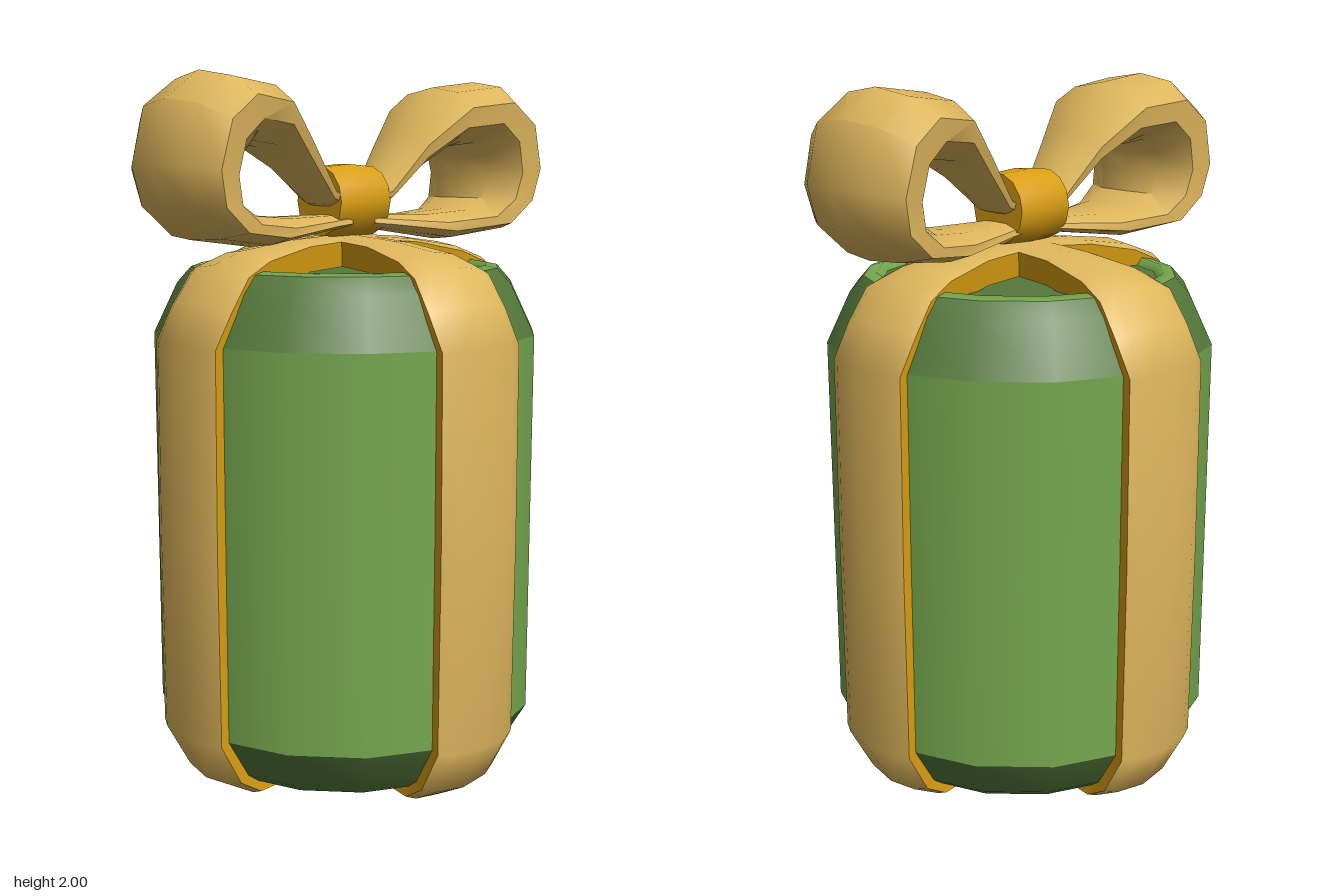
import * as THREE from 'three';
import { toCreasedNormals } from 'three/addons/utils/BufferGeometryUtils.js';

const mat = (name, color) => {
  const m = new THREE.MeshStandardMaterial({ color, side: THREE.DoubleSide });
  m.name = name;
  return m;
};

// Skin a surface through rows of points
function loft(rows, closed = false) {
  const n = rows[0].length, index = [];
  for (let i = 0; i < rows.length - 1; i++) {
    for (let j = 0; j < (closed ? n : n - 1); j++) {
      const a = i * n + j, b = i * n + (j + 1) % n, c = a + n, d = b + n;
      index.push(a, c, b, b, c, d);
    }
  }
  const geo = new THREE.BufferGeometry();
  geo.setAttribute('position', new THREE.Float32BufferAttribute(rows.flat(2), 3));
  geo.setIndex(index);
  geo.computeVertexNormals();
  return geo;
}

export function createModel() {
  const model = new THREE.Group();
  const green = mat('light green', 0x76a84e);
  const darkGreen = mat('dark green', 0x54783a);
  const tan = mat('ribbon tan', 0xdeb65c);
  const gold = mat('ribbon gold', 0xd99e12);

  const add = (parent, name, geo, material) => {
    const mesh = new THREE.Mesh(geo, material);
    mesh.name = name;
    parent.add(mesh);
    return mesh;
  };

  // Round box: stacked lathe bands, listed bottom to top
  const box = new THREE.Group();
  box.name = 'roundBox';
  box.position.x = 0.006;
  model.add(box);
  const bands = [
    ['bottomPanel', darkGreen, [[0, 0.085], [0.39, 0.085]]],
    ['bottomRim', green, [[0.39, 0.085], [0.405, 0.06], [0.44, 0.065]]],
    ['bottomBevel', darkGreen, [[0.44, 0.065], [0.48, 0.095], [0.547, 0.21]]],
    ['wall', green, [[0.547, 0.21], [0.547, 1.29]]],
    ['topBevel', darkGreen, [[0.547, 1.29], [0.48, 1.43], [0.44, 1.475]]],
    ['topRim', green, [[0.44, 1.475], [0.405, 1.482], [0.39, 1.46]]],
    ['topPanel', darkGreen, [[0.39, 1.46], [0, 1.46]]],
  ];
  for (const [name, material, pts] of bands) {
    const geo = new THREE.LatheGeometry(pts.map(p => new THREE.Vector2(...p)), 16);
    add(box, name, geo, material).rotation.y = Math.PI / 16;
  }

  // Ribbon arm: radius, height and half width from top centre to bottom centre
  const path = [
    [0, 1.565, 0.08], [0.2, 1.552, 0.088], [0.36, 1.53, 0.115], [0.46, 1.495, 0.135],
    [0.53, 1.4, 0.14], [0.588, 1.29, 0.14], [0.592, 0.75, 0.14], [0.588, 0.2, 0.14],
    [0.51, 0.06, 0.135], [0.41, 0.005, 0.12], [0.2, 0.017, 0.095], [0, 0.03, 0.08],
  ];
  const armRows = section => path.map(([r, y, w], i) => {
    const a = path[Math.max(i - 1, 0)], b = path[Math.min(i + 1, path.length - 1)];
    const t = new THREE.Vector2(b[0] - a[0], b[1] - a[1]).normalize();
    const crown = w * w * 1.8;
    return section.map(([s, k, depth]) => {
      const d = k * crown + depth;
      return [s * w, y - t.x * d, Math.max(r + t.y * d, 0)];
    });
  });
  const face = loft(armRows([[-1, 1, 0], [-0.7, 0.4, 0], [0, 0, 0], [0.7, 0.4, 0], [1, 1, 0]]));
  const edges = [-1, 1].map(s => loft(armRows([[s, 1, 0], [s * 0.9, 1, 0.07]])));
  ['front', 'left', 'back', 'right'].forEach((side, i) => {
    const arm = new THREE.Group();
    arm.name = side + 'Ribbon';
    arm.rotation.y = i * Math.PI / 2;
    add(arm, 'ribbonFace', face, tan);
    edges.forEach(e => add(arm, 'ribbonEdge', e, gold));
    box.add(arm);
  });

  // Bow loop: outer x, y, inner x, y, half width
  const loop = [
    [0.04, 1.68, 0.04, 1.63, 0.08], [0.1, 1.705, 0.11, 1.65, 0.085],
    [0.2, 1.85, 0.22, 1.745, 0.12], [0.33, 1.98, 0.31, 1.805, 0.18],
    [0.495, 2.0, 0.4, 1.815, 0.21], [0.6, 1.925, 0.44, 1.775, 0.215],
    [0.645, 1.76, 0.45, 1.72, 0.21], [0.62, 1.65, 0.435, 1.66, 0.2],
    [0.53, 1.565, 0.38, 1.628, 0.19], [0.34, 1.54, 0.25, 1.618, 0.14],
    [0.1, 1.575, 0.1, 1.62, 0.09], [0.04, 1.58, 0.04, 1.625, 0.08],
  ];
  const half = [[0.6, 0.1], [1, 0.36], [0.94, 0.68], [0.5, 0.97]];
  const ring = [[0, 0], ...half, [0, 1], ...half.map(([s, u]) => [-s, u]).reverse()];
  for (const [name, sx] of [['leftBowLoop', 1], ['rightBowLoop', -1]]) {
    const rows = loop.map(([ox, oy, ix, iy, w]) =>
      ring.map(([s, u]) => [sx * (ox + (ix - ox) * u), oy + (iy - oy) * u, s * w + 0.01]));
    if (sx < 0) rows.reverse();
    add(model, name, toCreasedNormals(loft(rows, true), 0.75), tan);
  }

  // Knot: a short barrel lying across the bow
  const knotProfile = [[0, -0.09], [0.098, -0.09], [0.105, 0], [0.098, 0.09], [0, 0.09]];
  const knotGeo = toCreasedNormals(
    new THREE.LatheGeometry(knotProfile.map(p => new THREE.Vector2(...p)), 14), 0.7);
  const knot = add(model, 'knot', knotGeo, gold);
  knot.rotation.z = Math.PI / 2;
  knot.position.set(0, 1.657, 0);

  return model;
}
